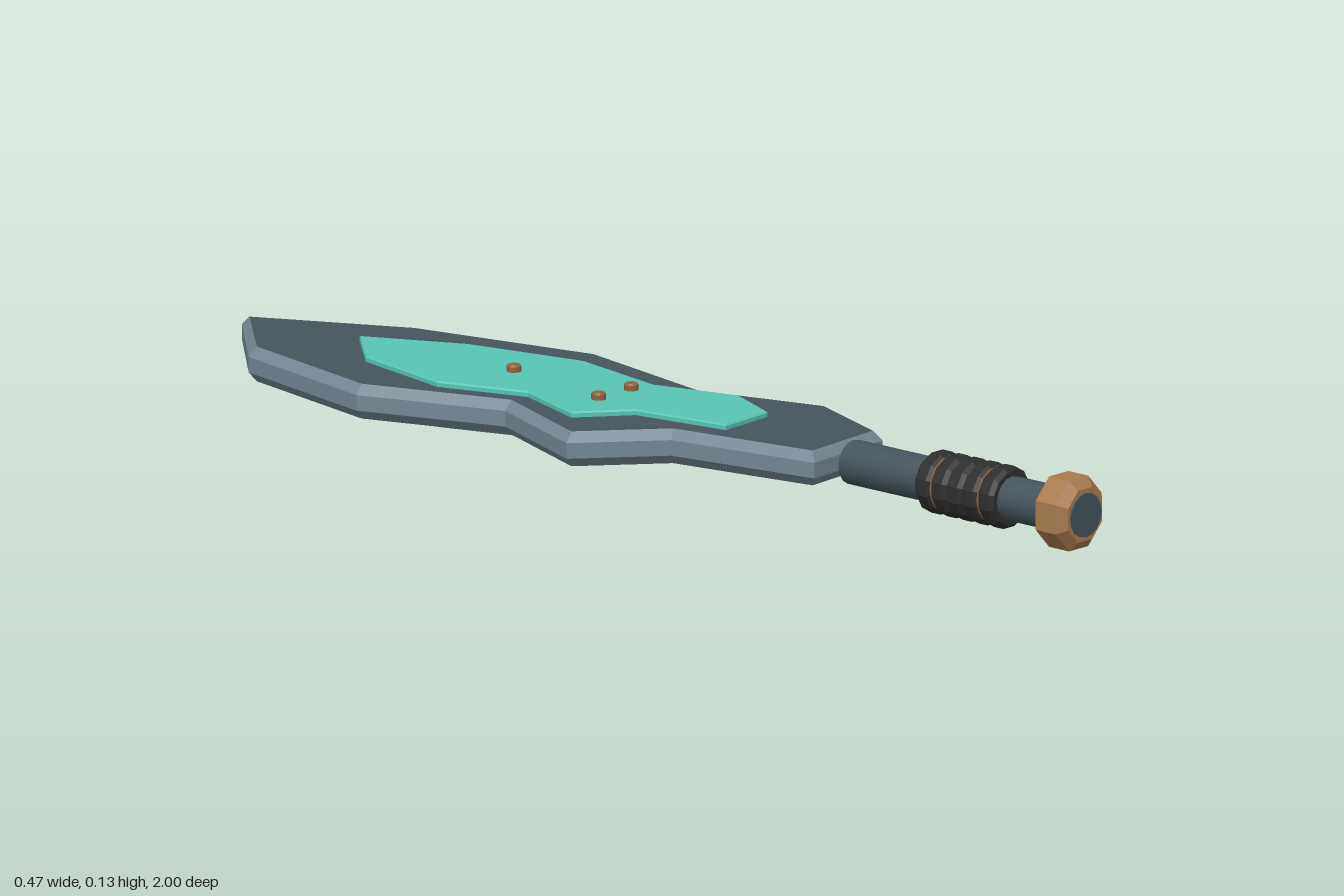
import * as THREE from 'three';

const MID = 0.067;      // height of the blade's mid plane
const GRIP_X = 0.054;   // handle axis is offset from the blade tip

const mat = (name, color) => {
  const m = new THREE.MeshStandardMaterial({ color });
  m.name = name;
  return m;
};

export function createModel() {
  const slate = mat('dark slate', 0x45545d);
  const steel = mat('steel edge', 0x748894);
  const teal = mat('teal inlay', 0x58c5b4);
  const bronze = mat('bronze', 0xa87c4f);
  const rivetBrown = mat('rivet brown', 0x936241);
  const wrap = mat('grip wrap', 0x2e2e2e);

  const group = new THREE.Group();
  const add = (name, geometry, material, x, y, z) => {
    const mesh = new THREE.Mesh(geometry, material);
    mesh.name = name;
    mesh.position.set(x, y, z);
    group.add(mesh);
    return mesh;
  };

  // Horizontal chamfered slab from an (x, z) outline, centred on y = 0
  const slab = (outline, height, inset, chamfer) => {
    const shape = new THREE.Shape(outline.map(([x, z]) => new THREE.Vector2(x, z)));
    const depth = height - 2 * chamfer;
    return new THREE.ExtrudeGeometry(shape, {
      depth, bevelEnabled: true, bevelSegments: 1,
      bevelSize: inset, bevelOffset: -inset, bevelThickness: chamfer,
    }).translate(0, 0, -depth / 2).rotateX(Math.PI / 2);
  };

  // Faceted turned part along z from (radius, z) points
  const turned = (points, sides, start = 0) => {
    const g = new THREE.LatheGeometry(
      points.map(([r, z]) => new THREE.Vector2(r, z)), sides, start).rotateX(Math.PI / 2);
    const flat = g.toNonIndexed();
    flat.computeVertexNormals();
    return flat;
  };

  // Blade: dark faces with a lighter chamfered rim
  const blade = [
    [0, -1], [0.15, -0.71], [0.23, -0.34], [0.165, -0.03], [0.235, 0.215], [0.16, 0.41],
    [-0.04, 0.425], [-0.093, 0.125], [-0.236, 0], [-0.14, -0.235], [-0.236, -0.51], [-0.165, -0.835],
  ];
  add('blade', slab(blade, 0.065, 0.015, 0.018), [slate, steel], 0, MID, 0);

  // Inlay showing on both faces of the blade
  const inlay = [
    [0, -0.715], [0.09, -0.53], [0.14, -0.295], [0.1, -0.09], [0.146, 0.075], [0.095, 0.19],
    [-0.025, 0.197], [-0.055, 0.005], [-0.146, -0.07], [-0.09, -0.225], [-0.146, -0.395], [-0.1, -0.61],
  ];
  add('inlay', slab(inlay, 0.086, 0.003, 0.003), teal, 0, MID, 0);

  // Rivets passing right through
  for (const [x, z] of [[0, -0.34], [-0.044, -0.095], [0.044, -0.095]]) {
    const rivet = new THREE.LatheGeometry([
      [0, -0.056], [0.011, -0.056], [0.0135, -0.053], [0.0135, 0.053], [0.011, 0.056], [0, 0.056],
    ].map(([r, y]) => new THREE.Vector2(r, y)), 10).toNonIndexed();
    rivet.computeVertexNormals();
    add('rivet', rivet, rivetBrown, x, MID, z);
  }

  // Handle rod
  const rod = new THREE.CylinderGeometry(0.041, 0.041, 0.565, 16).rotateX(Math.PI / 2);
  add('handleRod', rod, slate, GRIP_X, MID, 0.7175);

  // Ribbed grip with thin bronze bands near both ends
  const ribs = 5, pitch = 0.038;
  for (let i = 0; i < ribs; i++) {
    const h = pitch / 2;
    add('gripRib', turned([
      [0.04, -h], [0.051, -h], [0.058, -h + 0.008], [0.058, h - 0.008], [0.051, h], [0.04, h],
    ], 12, Math.PI / 12), wrap, GRIP_X, MID, 0.63 + pitch * (i + 0.5));
  }
  for (const z of [0.63 + pitch, 0.63 + pitch * 4]) {
    add('gripBand', new THREE.TorusGeometry(0.0515, 0.0025, 5, 16), rivetBrown, GRIP_X, MID, z);
  }

  // Octagonal chamfered pommel around the rod's end
  const pommel = turned([
    [0.038, -0.04], [0.052, -0.04], [0.0705, -0.024], [0.0705, 0.024], [0.052, 0.04], [0.038, 0.04],
  ], 8, Math.PI / 8);
  add('pommel', pommel, bronze, GRIP_X, MID, 0.957).scale.set(0.95, 1.01, 1);

  return group;
}
